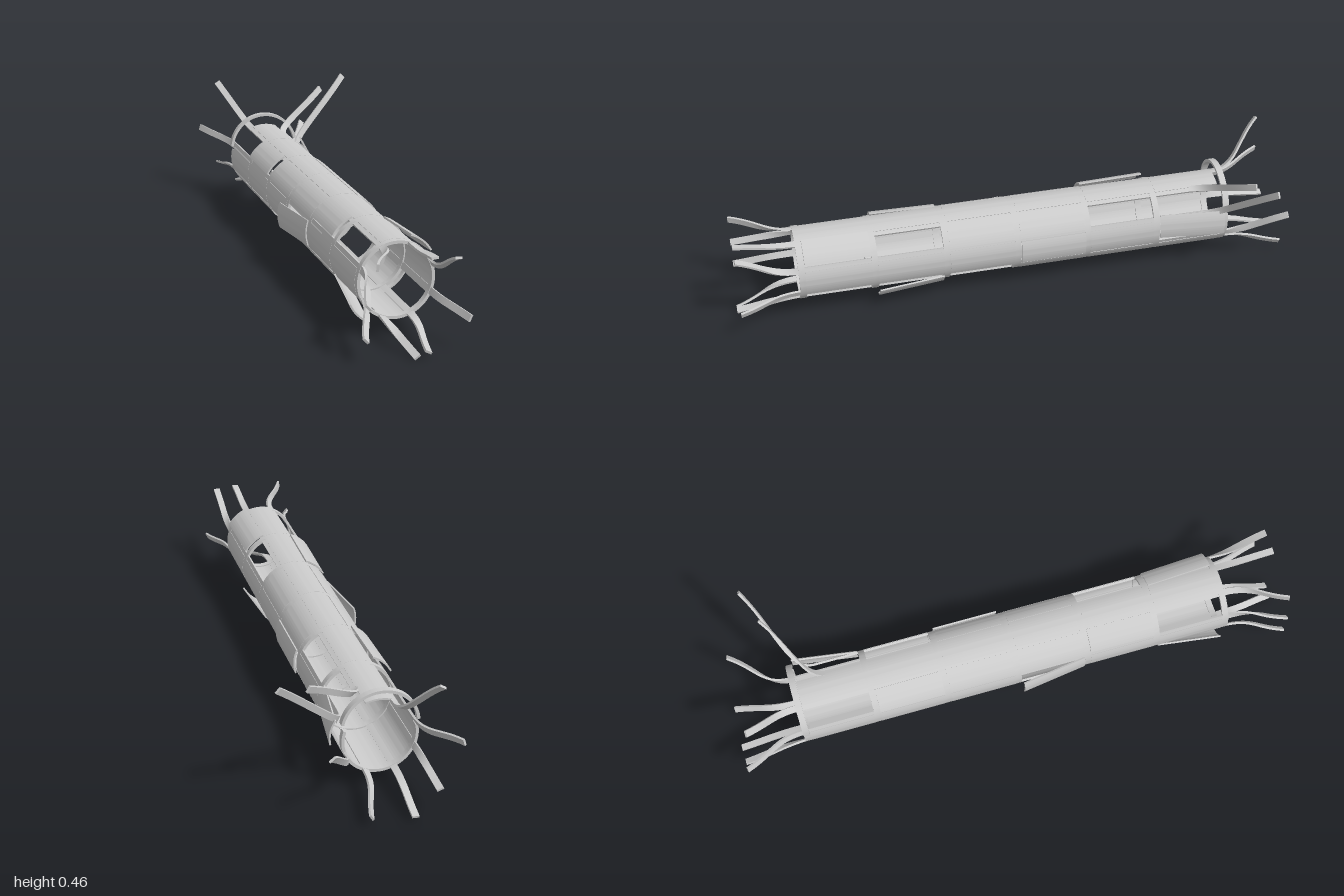
import * as THREE from 'three';
import { toCreasedNormals } from 'three/addons/utils/BufferGeometryUtils.js';

const CX = -0.075, CY = 0.177;   // tube axis
const BAY = 0.253;               // spacing of the ring frames
const RAD = Math.PI / 180;
const grey = new THREE.MeshStandardMaterial({ color: 0xcccccc });

function addMesh(parent, name, geometry) {
  const mesh = new THREE.Mesh(toCreasedNormals(geometry, 0.6), grey);
  mesh.name = name;
  parent.add(mesh);
  return mesh;
}

// Curved slab between two radii and two angles (degrees), centred along z
function arcSlab(inner, outer, from, to, length) {
  const shape = new THREE.Shape();
  shape.absarc(0, 0, outer, from * RAD, to * RAD, false);
  shape.absarc(0, 0, inner, to * RAD, from * RAD, true);
  shape.closePath();
  const geo = new THREE.ExtrudeGeometry(shape, {
    depth: length, bevelEnabled: false, curveSegments: Math.max(10, Math.round((to - from) / 6)),
  });
  return geo.translate(0, 0, -length / 2);
}

// Full ring with a round hole
function ringGeometry(inner, outer, length) {
  const shape = new THREE.Shape().absarc(0, 0, outer, 0, Math.PI * 2, false);
  shape.holes.push(new THREE.Path().absarc(0, 0, inner, 0, Math.PI * 2, true));
  const geo = new THREE.ExtrudeGeometry(shape, { depth: length, bevelEnabled: false, curveSegments: 48 });
  return geo.translate(0, 0, -length / 2);
}

// Bent end of a stringer, from the straight part out to its tip
function bentEnd(base, tip) {
  const sign = Math.sign(tip.z);
  const startZ = Math.min(0.76, Math.abs(tip.z) - 0.18);
  const start = new THREE.Vector3(base.x, base.y, sign * startZ);
  const p1 = start.clone().setZ(start.z + (tip.z - start.z) * 0.5);
  const p2 = start.clone().lerp(tip, 0.55);
  return new THREE.CubicBezierCurve3(start, p1, p2, tip).getPoints(12);
}

// Flat strip that runs the whole length and splays at both ends
function stringerGeometry(angle, back, front) {
  const base = new THREE.Vector3(CX + 0.123 * Math.cos(angle), CY + 0.123 * Math.sin(angle), 0);
  const tangent = new THREE.Vector3(-Math.sin(angle), Math.cos(angle), 0);
  const tips = [back, front].map((p) => new THREE.Vector3(...p));
  const sides = tips.map((tip) => {
    const s = new THREE.Vector3(-(tip.y - base.y), tip.x - base.x, 0).normalize();
    return s.dot(tangent) < 0 ? s.negate() : s;
  });
  const backPts = bentEnd(base, tips[0]).reverse();
  const pts = [...backPts, ...bentEnd(base, tips[1])];
  const last = pts.length - 1, pos = [], idx = [];
  pts.forEach((p, i) => {
    const dir = pts[Math.min(i + 1, last)].clone().sub(pts[Math.max(i - 1, 0)]).normalize();
    const isBack = i < backPts.length;
    const bend = isBack ? 1 - i / 12 : (i - backPts.length) / 12;
    const s = tangent.clone().lerp(sides[isBack ? 0 : 1], Math.min(1, bend * 1.6));
    s.addScaledVector(dir, -s.dot(dir)).normalize();
    const n = s.clone().cross(dir);
    for (const [a, b] of [[1, 1], [1, -1], [-1, -1], [-1, 1]]) {
      const v = p.clone().addScaledVector(s, a * 0.0115).addScaledVector(n, b * 0.0038);
      pos.push(v.x, v.y, v.z);
    }
    if (i === last) return;
    for (let k = 0; k < 4; k++) {
      const a = i * 4 + k, b = i * 4 + (k + 1) % 4;
      idx.push(a, b, b + 4, a, b + 4, a + 4);
    }
  });
  const e = last * 4;
  idx.push(0, 2, 1, 0, 3, 2, e, e + 1, e + 2, e, e + 2, e + 3);
  const geo = new THREE.BufferGeometry();
  geo.setAttribute('position', new THREE.Float32BufferAttribute(pos, 3));
  geo.setIndex(idx);
  geo.computeVertexNormals();
  return geo;
}

export function createModel() {
  const model = new THREE.Group();
  model.name = 'brokenTube';

  // Ring frames; the rear one is broken and its upper half lifted
  for (let i = -2; i <= 3; i++) {
    addMesh(model, 'ringFrame', ringGeometry(0.118, 0.128, 0.022)).position.set(CX, CY, i * BAY);
  }
  addMesh(model, 'rearRingLower', arcSlab(0.118, 0.128, 165, 378, 0.022)).position.set(CX, CY, -3 * BAY);
  const lifted = addMesh(model, 'rearRingUpper', arcSlab(0.122, 0.132, 8, 172, 0.022));
  lifted.position.set(CX, CY + 0.037, -3 * BAY);
  lifted.rotation.z = 0.06;

  // Stringers: back tip and front tip, every 45 degrees from 22.5
  const tips = [
    [[0.28, 0.45, -0.855], [0.045, 0.305, 0.98]],
    [[0.175, 0.415, -0.815], [-0.03, 0.312, 0.98]],
    [[-0.21, 0.438, -0.945], [-0.21, 0.3, 0.98]],
    [[-0.275, 0.252, -0.98], [-0.238, 0.178, 0.98]],
    [[-0.2, 0.1, -0.99], [-0.245, 0.075, 0.98]],
    [[-0.12, 0.018, -0.998], [-0.085, 0.008, 0.99]],
    [[0.02, 0.035, -0.99], [-0.05, 0.02, 0.99]],
    [[0.14, 0.247, -0.96], [0.088, 0.108, 0.98]],
  ];
  tips.forEach(([back, front], i) => {
    addMesh(model, 'stringer', stringerGeometry((22.5 + 45 * i) * RAD, back, front));
  });

  // Skin panels, keyed by bay (0 = rear) and sector angle
  const missing = new Set(['0:45', '0:135', '1:45', '4:45', '5:135', '5:315', '3:315', '2:225']);
  const loose = { // sector angle, outward shift, tilt (+ = front end out)
    '0:0': [10, 0.018, -0.14],
    '1:135': [133, 0.016, -0.02],
    '2:0': [2, 0.01, 0],
    '3:180': [180, 0.02, -0.14],
    '4:135': [131, 0.009, 0.02],
    '4:315': [314, 0.018, 0.08],
    '5:45': [50, 0.014, 0.06],
    '5:225': [223, 0.02, 0.14],
  };
  const panel = arcSlab(0.1225, 0.1285, -20.5, 20.5, BAY - 0.022).translate(-0.1255, 0, 0);
  for (let bay = 0; bay < 6; bay++) {
    for (let sector = 0; sector < 360; sector += 45) {
      const key = `${bay}:${sector}`;
      if (missing.has(key)) continue;
      const [angle, out, tilt] = loose[key] || [sector, 0, 0];
      const holder = new THREE.Group();
      holder.name = loose[key] ? 'loosePanel' : 'skinPanel';
      holder.position.set(CX, CY, (bay - 2.5) * BAY);
      holder.rotation.z = angle * RAD;
      const mesh = addMesh(holder, 'panel', panel);
      mesh.position.x = 0.1255 + out;
      mesh.rotation.y = tilt;
      model.add(holder);
    }
  }
  return model;
}
